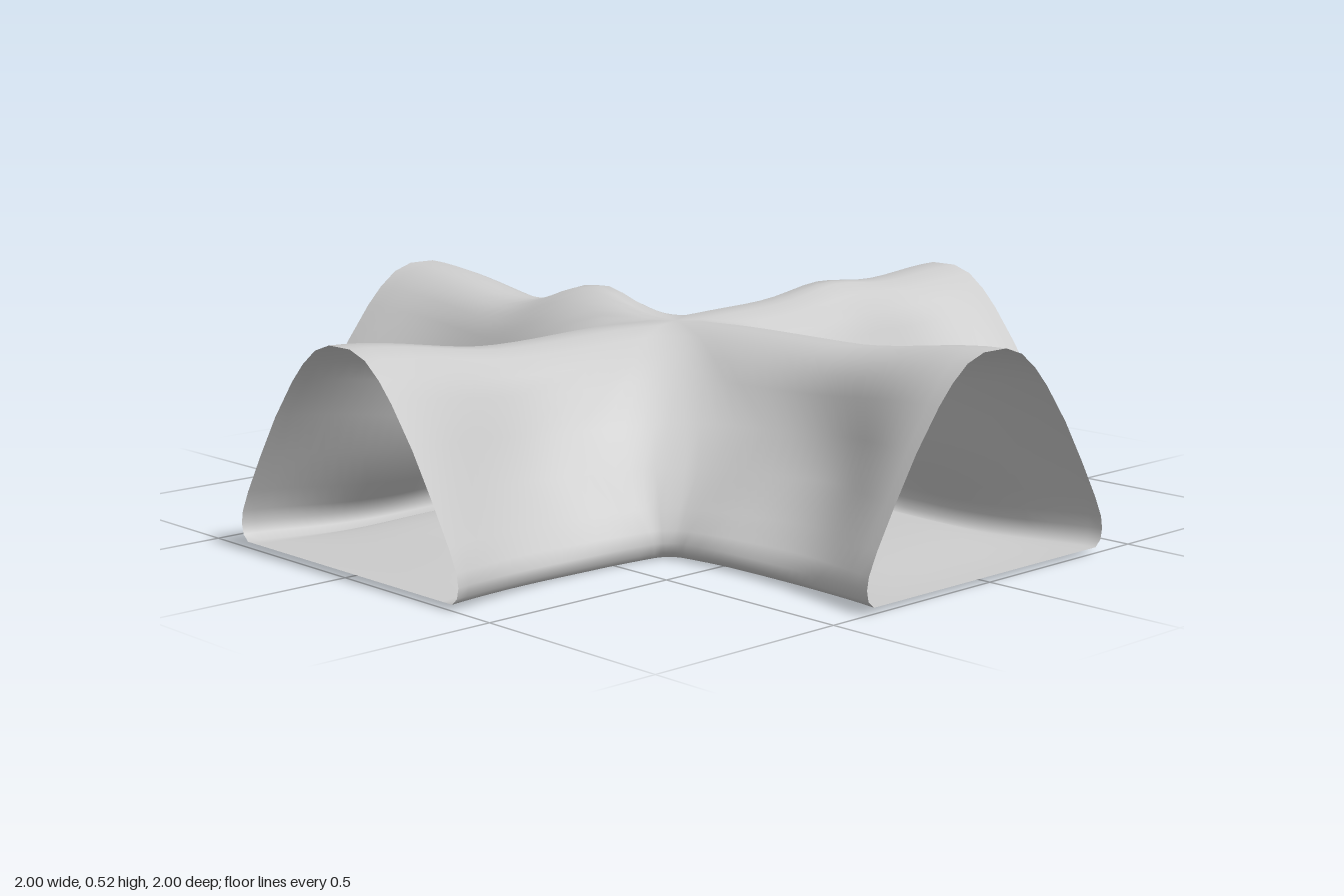
import * as THREE from 'three';
import { mergeVertices } from 'three/addons/utils/BufferGeometryUtils.js';

// Half cross-section [offset from arm axis, height]: crown, wall, foot, floor
const PROFILE = [
  [0, 0.52], [0.035, 0.52], [0.085, 0.502], [0.13, 0.465], [0.17, 0.42], [0.235, 0.33],
  [0.295, 0.23], [0.345, 0.14], [0.368, 0.09], [0.373, 0.06], [0.368, 0.035],
  [0.352, 0.02], [0.32, 0.02], [0.27, 0.02], [0.18, 0.02], [0.09, 0.02], [0, 0.02],
];
const WALL_END = 8, FLOOR_START = 11; // profile indices where the wall ends and the floor begins
const STRAIGHT = 18, BEND = 10;       // samples along each arm and round each corner

// Inward dent of the two walls in each quadrant: [amount, position shift]
const DENTS = [
  [[0.2, 0.05], [0.33, 0.02]],
  [[0.14, -0.03], [0.22, 0.04]],
  [[0.2, 0.0], [0.16, -0.05]],
  [[0.2, 0.04], [0.24, 0.0]],
];

const { clamp, smoothstep } = THREE.MathUtils;
const hump = (d, shift = 0) => Math.sin(Math.PI * clamp((d - 0.28) / 0.72, 0, 1) ** (1 + shift * 4)) ** 2;
const blob = (x, z, cx, cz, r) => Math.exp(-((x - cx) ** 2 + (z - cz) ** 2) / (r * r));

// Plan path of one profile point: down one arm, round the corner, out the next.
// The bend is tight at the foot and wide near the crown.
function cornerPath(w, y) {
  const r = w * (0.12 + 0.95 * smoothstep(y, 0.05, 0.4)), start = w + r, pts = [];
  for (let k = 0; k < STRAIGHT; k++) pts.push([w, 1 + (start - 1) * (k / STRAIGHT)]);
  for (let k = 0; k <= BEND; k++) {
    const t = k / BEND;
    pts.push([w + r * t * t, w + r * (1 - t) * (1 - t)]);
  }
  for (let k = 1; k <= STRAIGHT; k++) pts.push([start + (1 - start) * (k / STRAIGHT), w]);
  return pts;
}

// Flared mouths, pinched middles and dented walls
function shapeSide(x, z, y, quadrant, onWall) {
  const d = Math.max(x, z), arm = x > z ? 1 : 0;
  const [amount, shift] = DENTS[quadrant][arm];
  const bell = onWall ? Math.sin(Math.PI * clamp((y - 0.06) / 0.46, 0, 1)) : 0;
  const s = 1 + 0.07 * clamp((d - 0.7) / 0.3, 0, 1) ** 2 - 0.065 * hump(d, -0.04)
    - amount * bell * hump(d, shift);
  return arm ? [x, z * s] : [x * s, z];
}

// Sagging ridges with a few bumps, and a floor that swells between the feet
function shapeHeight(x, z, w, y, onFloor) {
  const inside = smoothstep(1 - Math.max(Math.abs(x), Math.abs(z)), 0, 0.45);
  const up = clamp((y - 0.02) / 0.5, 0, 1);
  const roof = -0.041 * inside + 0.05 * blob(x, z, -0.3, 0, 0.13)
    - 0.015 * blob(x, z, -0.55, 0, 0.15) + 0.035 * blob(x, z, 0, -0.55, 0.15)
    - 0.01 * blob(x, z, 0, 0.5, 0.22) - 0.008 * blob(x, z, 0, 0, 0.15);
  const swell = onFloor ? 0.046 * (1 - (w / 0.352) ** 4) : 0;
  const floor = inside * (swell - 0.014 + 0.008 * Math.sin(7 * x + 1) * Math.cos(6 * z));
  return Math.max(0, y + roof * up + floor * (1 - up));
}

function tunnelGeometry() {
  const positions = [], index = [];
  const cols = 2 * STRAIGHT + BEND + 1;
  for (let q = 0; q < 4; q++) {
    const base = positions.length / 3;
    PROFILE.forEach(([w, y], i) => {
      for (const [px, pz] of cornerPath(w, y)) {
        let [x, z] = shapeSide(px, pz, y, q, i <= WALL_END);
        for (let k = 0; k < q; k++) [x, z] = [z, -x];
        positions.push(x, shapeHeight(x, z, w, y, i >= FLOOR_START), z);
      }
    });
    for (let i = 0; i < PROFILE.length - 1; i++) {
      for (let j = 0; j < cols - 1; j++) {
        const a = base + i * cols + j, b = a + cols;
        index.push(a, b, a + 1, b, b + 1, a + 1);
      }
    }
  }
  let geometry = new THREE.BufferGeometry();
  geometry.setAttribute('position', new THREE.Float32BufferAttribute(positions, 3));
  geometry.setIndex(index);
  geometry = mergeVertices(geometry, 1e-4); // join quadrants for smooth shading
  geometry.computeVertexNormals();
  return geometry;
}

export function createModel() {
  const group = new THREE.Group();
  group.name = 'tunnelCrossing';
  const material = new THREE.MeshStandardMaterial({ color: 0xcccccc, side: THREE.DoubleSide });
  const shell = new THREE.Mesh(tunnelGeometry(), material);
  shell.name = 'tunnelShell';
  group.add(shell);
  return group;
}
